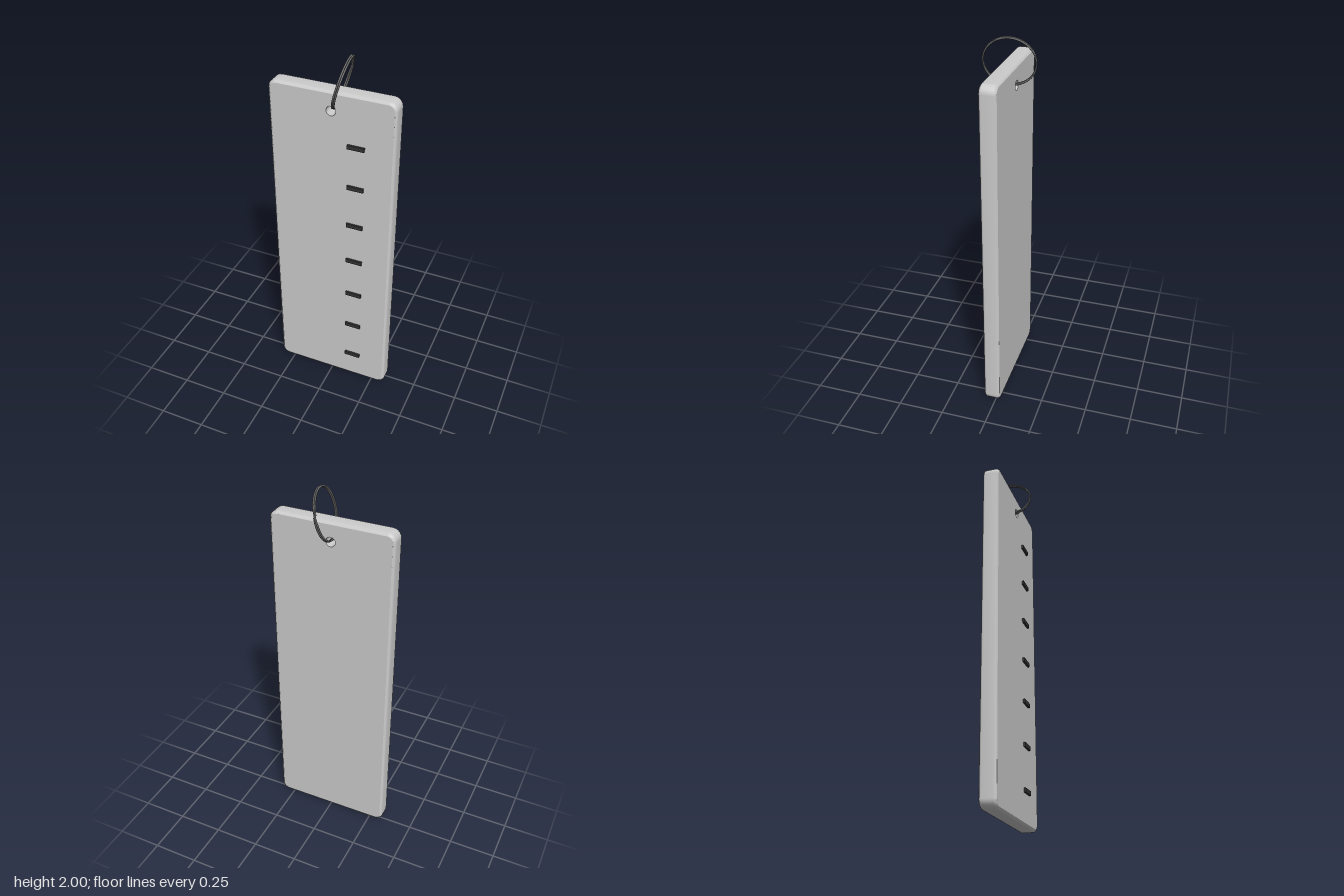
import * as THREE from 'three';

const WIDTH = 0.66, HEIGHT = 1.845, BACK = -0.025, FRONT = 0.062, BEVEL = 0.014;
const HOLE_Y = 1.742, HOLE_R = 0.025;

// Rounded rectangle outline of the plate, shrunk by an inset
function outline(inset) {
  const r = 0.045 - inset, n = 5, pts = [];
  const hx = WIDTH / 2 - 0.045, hy = HEIGHT / 2 - 0.045;
  [[1, 1], [-1, 1], [-1, -1], [1, -1]].forEach(([sx, sy], corner) => {
    for (let i = 0; i <= n; i++) {
      const a = (corner + i / n) * Math.PI / 2;
      pts.push(new THREE.Vector2(sx * hx + r * Math.cos(a), HEIGHT / 2 + sy * hy + r * Math.sin(a)));
    }
  });
  return pts;
}

// Bevelled edge: outline loops stitched from back to front
function rimGeometry() {
  const b = BEVEL;
  const loops = [[b, BACK], [b * 0.35, BACK + b * 0.4], [0, BACK + b], [0, FRONT - b], [b * 0.35, FRONT - b * 0.4], [b, FRONT]];
  const pos = [], idx = [];
  let n = 0;
  for (const [inset, z] of loops) {
    const pts = outline(inset);
    n = pts.length;
    pts.forEach(p => pos.push(p.x, p.y, z));
  }
  for (let l = 0; l < loops.length - 1; l++) {
    for (let i = 0; i < n; i++) {
      const a = l * n + i, c = l * n + (i + 1) % n;
      idx.push(a, c, c + n, a, c + n, a + n);
    }
  }
  const g = new THREE.BufferGeometry();
  g.setAttribute('position', new THREE.Float32BufferAttribute(pos, 3));
  g.setIndex(idx);
  g.computeVertexNormals();
  return g;
}

// Split ring: two flat turns of wire joined by a short sideways step
class SplitRing extends THREE.Curve {
  getPoint(t, target = new THREE.Vector3()) {
    const a = 0.3 + t * (Math.PI * 4 - 0.1);
    const side = THREE.MathUtils.smoothstep(t, 0.46, 0.54) - 0.5;
    return target.set(Math.cos(a) * 0.129, Math.sin(a) * 0.129, side * 0.009);
  }
}

export function createModel() {
  const model = new THREE.Group();
  const grey = new THREE.MeshStandardMaterial({ color: 0xcccccc });
  const inner = new THREE.MeshStandardMaterial({ color: 0xcccccc, side: THREE.DoubleSide });
  const metal = new THREE.MeshStandardMaterial({ color: 0x707070 });
  const dark = new THREE.MeshStandardMaterial({ color: 0x333333 });
  const add = (parent, name, geometry, material) => {
    const mesh = new THREE.Mesh(geometry, material);
    mesh.name = name;
    parent.add(mesh);
    return mesh;
  };

  // Plate with a hole through the top
  const plate = new THREE.Group();
  plate.name = 'plate';
  model.add(plate);
  const face = new THREE.Shape(outline(BEVEL));
  face.holes.push(new THREE.Path().absarc(0, HOLE_Y, HOLE_R, 0, Math.PI * 2, true));
  add(plate, 'frontFace', new THREE.ShapeGeometry(face, 16), grey).position.z = FRONT;
  const back = add(plate, 'backFace', new THREE.ShapeGeometry(face, 16), grey);
  back.rotation.y = Math.PI;
  back.position.z = BACK;
  add(plate, 'bevelledEdge', rimGeometry(), grey);
  const wall = add(plate, 'holeWall', new THREE.CylinderGeometry(HOLE_R, HOLE_R, FRONT - BACK, 32, 1, true), inner);
  wall.rotation.x = Math.PI / 2;
  wall.position.set(0, HOLE_Y, (FRONT + BACK) / 2);

  // Row of raised marks
  for (let i = 0; i < 7; i++) {
    add(model, 'mark' + (i + 1), new THREE.BoxGeometry(0.088, 0.022, 0.014), dark)
      .position.set(0.131, 0.172 + i * 0.2333, FRONT + 0.004);
  }

  // Ring tilted through the hole, its split facing the back
  const ring = new THREE.Group();
  ring.name = 'splitRing';
  const wire = new SplitRing();
  add(ring, 'ringWire', new THREE.TubeGeometry(wire, 160, 0.0045, 8), metal);
  for (const t of [0, 1]) {
    add(ring, 'wireEnd', new THREE.SphereGeometry(0.0045, 8, 6), metal).position.copy(wire.getPoint(t));
  }
  const up = new THREE.Vector3(0.27, 1, 0).normalize();
  const rear = new THREE.Vector3(-0.12, 0, -1);
  rear.addScaledVector(up, -rear.dot(up)).normalize();
  const axis = new THREE.Vector3().crossVectors(rear, up);
  ring.quaternion.setFromRotationMatrix(new THREE.Matrix4().makeBasis(rear, up, axis));
  ring.position.set(0.036, 1.87, 0);
  model.add(ring);

  return model;
}
